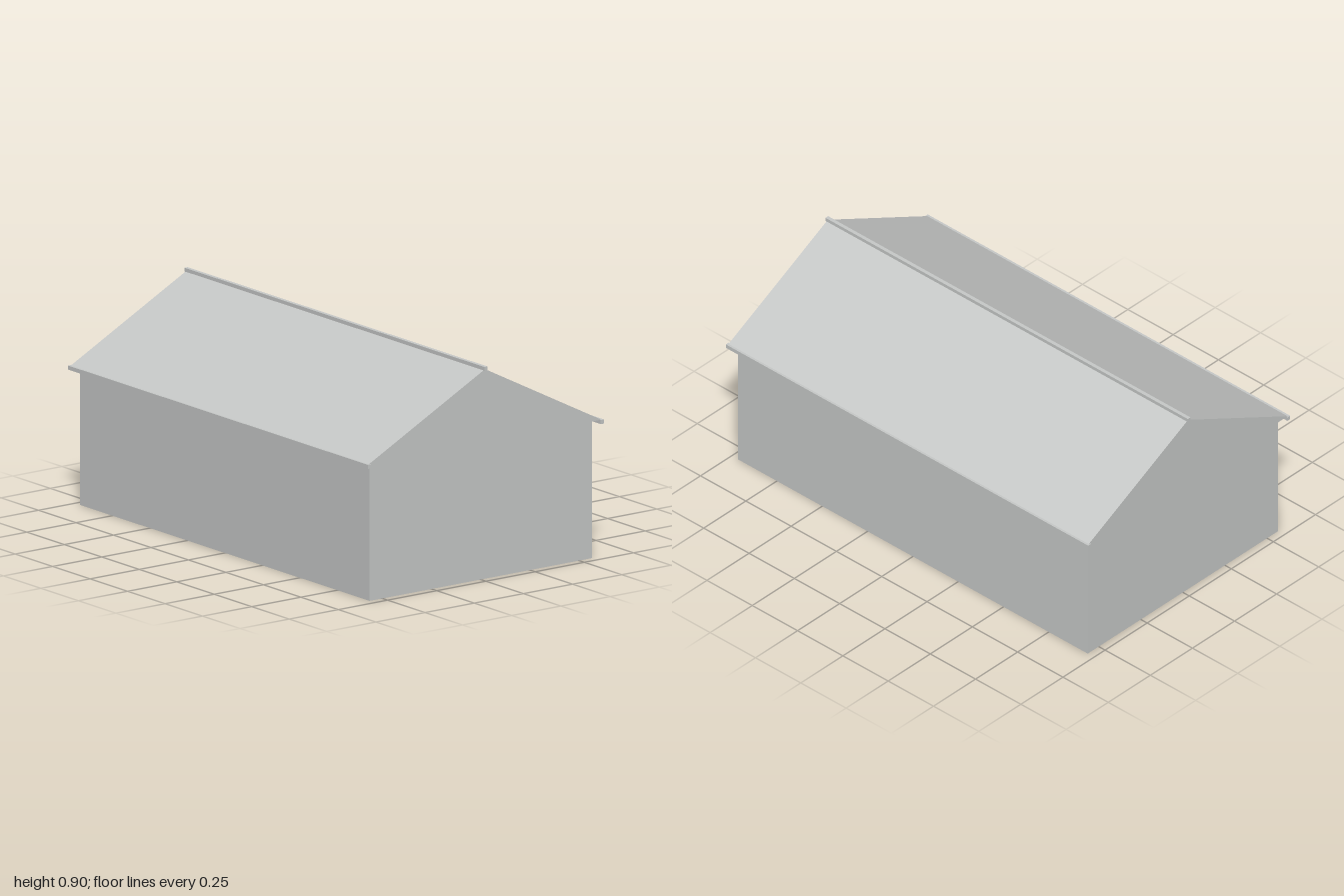
import * as THREE from 'three';

const WALL_TOP = 0.58;
const APEX = 0.885;

export function createModel() {
  const group = new THREE.Group();
  const grey = new THREE.MeshStandardMaterial({ color: 0xc6c8c7 });
  grey.name = 'pale grey';

  const add = (name, geometry, x, y, z) => {
    const mesh = new THREE.Mesh(geometry, grey);
    mesh.name = name;
    mesh.position.set(x, y, z);
    group.add(mesh);
  };

  // Main block of walls
  add('walls', new THREE.BoxGeometry(1.93, WALL_TOP, 1.13), 0, WALL_TOP / 2, 0);

  // Solid gabled roof, overhanging the walls on every side
  const halfDepth = 0.592, roofLength = 1.988;
  const gable = new THREE.Shape([
    new THREE.Vector2(-halfDepth, WALL_TOP),
    new THREE.Vector2(halfDepth, WALL_TOP),
    new THREE.Vector2(0, APEX),
  ]);
  const roof = new THREE.ExtrudeGeometry(gable, { depth: roofLength, bevelEnabled: false });
  roof.translate(0, 0, -roofLength / 2).rotateY(Math.PI / 2);
  add('roof', roof, 0, 0, 0);

  // Ridge cap along the top
  add('ridgeCap', new THREE.BoxGeometry(2, 0.016, 0.016), 0, APEX + 0.003, 0);

  // Gutters along both eaves
  for (const [name, side] of [['frontGutter', 1], ['backGutter', -1]]) {
    add(name, new THREE.BoxGeometry(2, 0.017, 0.017), 0, WALL_TOP - 0.0075, side * 0.5915);
  }

  return group;
}
